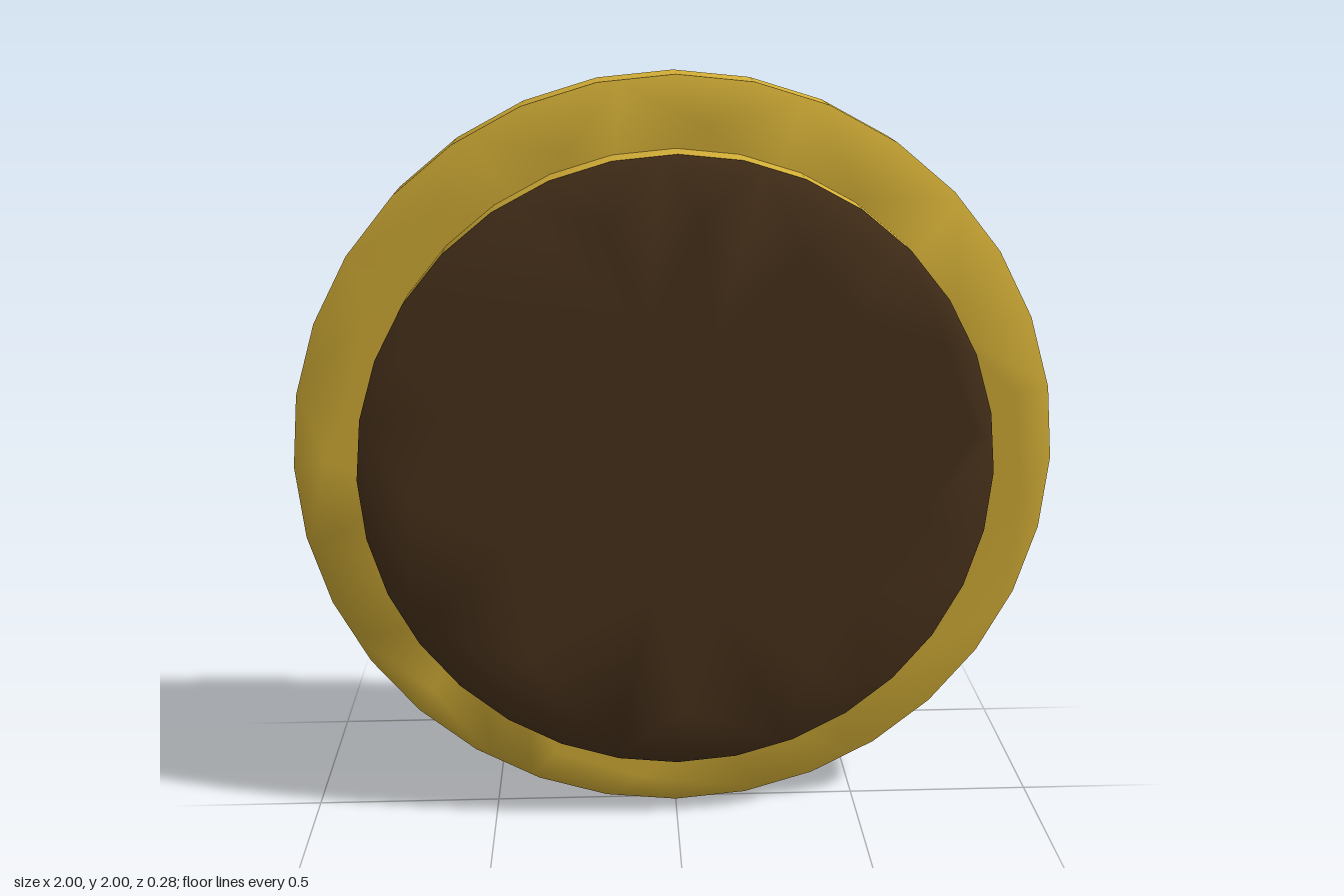
import * as THREE from 'three';

const SIDES = 32;
const CENTER_Y = 1;
const RIM_TILT = 0.35; // how far the face normals lean outward at the rim

// Crack centres of each disc, relative to the disc centre
const FRONT_SEEDS = [
  [-0.12, 0.05], [0.19, -0.085], [0.415, 0.14], [0.537, -0.163], [0.37, -0.5],
  [0.046, -0.657], [-0.31, -0.574], [-0.12, 0.75], [0.03, 0.74], [0.35, 0.65],
  [-0.45, 0.42], [-0.8, 0.35], [-0.8, -0.02], [0.72, 0.46], [0.62, -0.48],
];
const BACK_SEEDS = [
  [0.26, -0.03], [0.75, 0.47], [0.5, 0.65], [0.03, 0.5], [-0.36, 0.41],
  [0, 0.83], [-0.39, 0.1], [-0.69, 0.18], [-0.33, -0.2], [0.1, 0.25],
  [0.26, -0.4], [0.72, -0.1], [0.92, -0.15], [-0.39, -0.56], [-0.23, -0.38],
  [-0.07, -0.72], [0.2, -0.67], [-0.72, -0.34], [-0.68, -0.58], [-0.05, -0.92],
  [-0.82, 0.34], [-0.6, 0.65], [0.62, -0.55], [-0.3, 0.85], [-0.92, 0.05],
];

function discOutline(radius) {
  return Array.from({ length: SIDES }, (_, i) => {
    const a = (i / SIDES) * Math.PI * 2;
    return [radius * Math.cos(a), radius * Math.sin(a)];
  });
}

// Keep the part of a convex polygon that is nearer to seed a than to seed b
function clip(poly, a, b) {
  const n = [b[0] - a[0], b[1] - a[1]];
  const d = (n[0] * (a[0] + b[0]) + n[1] * (a[1] + b[1])) / 2;
  const side = (p) => p[0] * n[0] + p[1] * n[1] - d;
  const out = [];
  poly.forEach((p, i) => {
    const q = poly[(i + 1) % poly.length];
    const sp = side(p), sq = side(q);
    if (sp <= 0) out.push(p);
    if (sp * sq < 0) {
      const t = sp / (sp - sq);
      out.push([p[0] + (q[0] - p[0]) * t, p[1] + (q[1] - p[1]) * t]);
    }
  });
  return out;
}

function buildGeometry(triangles) {
  const pos = [], nor = [];
  triangles.forEach((tri) => tri.forEach(([p, n]) => {
    pos.push(...p);
    nor.push(...n);
  }));
  const g = new THREE.BufferGeometry();
  g.setAttribute('position', new THREE.Float32BufferAttribute(pos, 3));
  g.setAttribute('normal', new THREE.Float32BufferAttribute(nor, 3));
  return g;
}

// Fan cap of a shard; dir is +1 for the front face, -1 for the back face
function capTriangles(poly, z, dir, radius) {
  const c = [0, 1].map((k) => poly.reduce((s, p) => s + p[k], 0) / poly.length);
  const corner = (p) => {
    const r = Math.hypot(...p);
    const lean = r > radius * 0.994 ? RIM_TILT / r : 0;
    const n = new THREE.Vector3(p[0] * lean, p[1] * lean, dir).normalize();
    return [[p[0], p[1], z], n.toArray()];
  };
  const middle = [[c[0], c[1], z], [0, 0, dir]];
  return poly.map((p, i) => {
    const a = corner(p), b = corner(poly[(i + 1) % poly.length]);
    return dir > 0 ? [middle, a, b] : [middle, b, a];
  });
}

// Side walls: smooth around the rim, flat along the cracks
function wallTriangles(poly, z0, z1, radius) {
  const out = [];
  poly.forEach((p, i) => {
    const q = poly[(i + 1) % poly.length];
    const len = Math.hypot(q[0] - p[0], q[1] - p[1]);
    if (len < 1e-6) return;
    const flat = [(q[1] - p[1]) / len, (p[0] - q[0]) / len, 0];
    const onRim = Math.hypot(p[0] + q[0], p[1] + q[1]) / 2 > radius * 0.994;
    const normal = (v) => {
      const r = Math.hypot(...v);
      return onRim ? [v[0] / r, v[1] / r, 0] : flat;
    };
    const at = (v, z) => [[v[0], v[1], z], normal(v)];
    out.push([at(p, z0), at(q, z0), at(q, z1)], [at(p, z0), at(q, z1), at(p, z1)]);
  });
  return out;
}

// A disc broken into tightly fitting shards
function crackedDisc(name, seeds, radius, z0, z1, bodyMaterial, faceMaterial) {
  const disc = new THREE.Group();
  disc.name = name;
  seeds.forEach((seed, i) => {
    let poly = discOutline(radius);
    seeds.forEach((other) => {
      if (other !== seed) poly = clip(poly, seed, other);
    });
    if (poly.length < 3) return;
    const shard = new THREE.Group();
    shard.name = `${name}Shard${i + 1}`;
    const body = new THREE.Mesh(buildGeometry([
      ...wallTriangles(poly, z0, z1, radius),
      ...capTriangles(poly, z0, -1, radius),
    ]), bodyMaterial);
    body.name = 'shardBody';
    const face = new THREE.Mesh(buildGeometry(capTriangles(poly, z1, 1, radius)), faceMaterial);
    face.name = 'shardFace';
    shard.add(body, face);
    disc.add(shard);
  });
  return disc;
}

export function createModel() {
  const gold = new THREE.MeshStandardMaterial({ color: 0xd4af37 });
  const brown = new THREE.MeshStandardMaterial({ color: 0x4a331c });
  const model = new THREE.Group();
  model.name = 'crackedRoundPlaque';

  // Wide gold backing plate and the smaller raised plate with a dark face
  model.add(
    crackedDisc('backPlate', BACK_SEEDS, 1, -0.14, 0.02, gold, gold),
    crackedDisc('frontPlate', FRONT_SEEDS, 0.82, 0.02, 0.14, gold, brown),
  );
  model.children.forEach((plate) => { plate.position.y = CENTER_Y; });
  return model;
}
